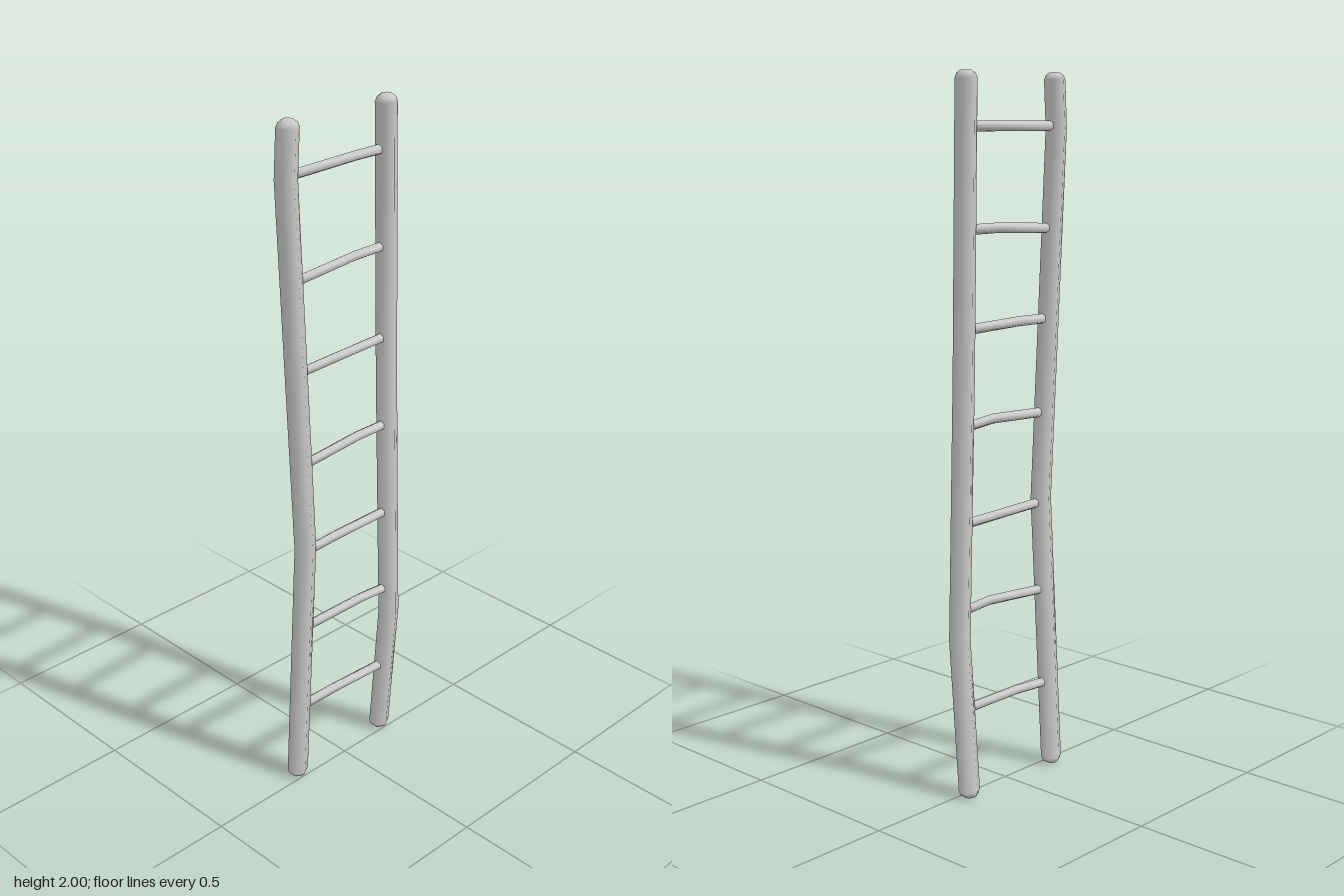
import * as THREE from 'three';

const SIDES = 6;
const material = new THREE.MeshStandardMaterial({ color: 0xcccccc, side: THREE.DoubleSide });

// Sweeps a hexagon through rings of [x, y, z, radius], along y (rails) or x (rungs), closing both ends.
function sweep(name, rings, u, v) {
  const positions = [];
  const index = [];
  for (const [x, y, z, r] of rings) {
    for (let j = 0; j < SIDES; j++) {
      const a = (j / SIDES) * Math.PI * 2;
      const p = new THREE.Vector3(x, y, z)
        .addScaledVector(u, Math.cos(a) * r)
        .addScaledVector(v, Math.sin(a) * r);
      positions.push(p.x, p.y, p.z);
    }
  }
  for (let i = 0; i < rings.length - 1; i++) {
    for (let j = 0; j < SIDES; j++) {
      const k = (j + 1) % SIDES;
      const a = i * SIDES + j, b = i * SIDES + k;
      index.push(a, b, b + SIDES, a, b + SIDES, a + SIDES);
    }
  }
  const last = (rings.length - 1) * SIDES;
  for (let j = 1; j < SIDES - 1; j++) {
    index.push(0, j + 1, j, last, last + j, last + j + 1);
  }
  const geometry = new THREE.BufferGeometry();
  geometry.setAttribute('position', new THREE.Float32BufferAttribute(positions, 3));
  geometry.setIndex(index);
  geometry.computeVertexNormals();
  const mesh = new THREE.Mesh(geometry, material);
  mesh.name = name;
  return mesh;
}

const X = new THREE.Vector3(1, 0, 0);
const Y = new THREE.Vector3(0, 1, 0);
const Z = new THREE.Vector3(0, 0, 1);

// Crooked centre lines of the two rails, bottom to top
const leftPath = [[0.173, 0.02, -0.022], [0.165, 0.45, 0.02], [0.183, 1.2, -0.018], [0.173, 1.98, -0.022]];
const rightPath = [[-0.176, 0.02, -0.022], [-0.172, 0.8, 0.019], [-0.187, 1.85, -0.019], [-0.176, 1.98, -0.022]];

// Point on a rail at a given height
function railAt(path, y) {
  let i = 0;
  while (i < path.length - 2 && y > path[i + 1][1]) i++;
  const t = (y - path[i][1]) / (path[i + 1][1] - path[i][1]);
  return path[i].map((c, n) => c + (path[i + 1][n] - c) * t);
}

// Rail with blunt, rounded ends
function rail(name, path) {
  const R = 0.031;
  const [x0, , z0] = path[0];
  const [x1, , z1] = path[path.length - 1];
  const rings = [[x0, 0, z0, R * 0.5], [x0, 0.008, z0, R * 0.85]];
  for (const p of path) rings.push([...p, R]);
  rings.push([x1, 1.992, z1, R * 0.85], [x1, 2, z1, R * 0.5]);
  return sweep(name, rings, Z, X);
}

export function createModel() {
  const group = new THREE.Group();
  group.name = 'ladder';
  group.add(rail('leftRail', leftPath), rail('rightRail', rightPath));

  // Rungs: height at right end, bend x, bend height, bend z offset, height at left end
  const rungs = [
    [0.25, -0.04, 0.255, 0.002, 0.25],
    [0.53, 0.05, 0.54, 0.004, 0.53],
    [0.788, -0.04, 0.787, -0.002, 0.783],
    [1.053, 0.05, 1.064, 0.004, 1.056],
    [1.323, -0.05, 1.325, 0.003, 1.322],
    [1.576, 0.05, 1.588, -0.002, 1.588],
    [1.857, 0.06, 1.857, -0.005, 1.857],
  ];
  rungs.forEach(([yr, bx, by, bz, yl], i) => {
    const a = railAt(rightPath, yr);
    const b = railAt(leftPath, yl);
    const t = (bx - a[0]) / (b[0] - a[0]);
    const z = a[2] + (b[2] - a[2]) * t + bz;
    const r = 0.014;
    group.add(sweep(`rung${i + 1}`, [[...a, r], [bx, by, z, r], [...b, r]], Y, Z));
  });
  return group;
}
